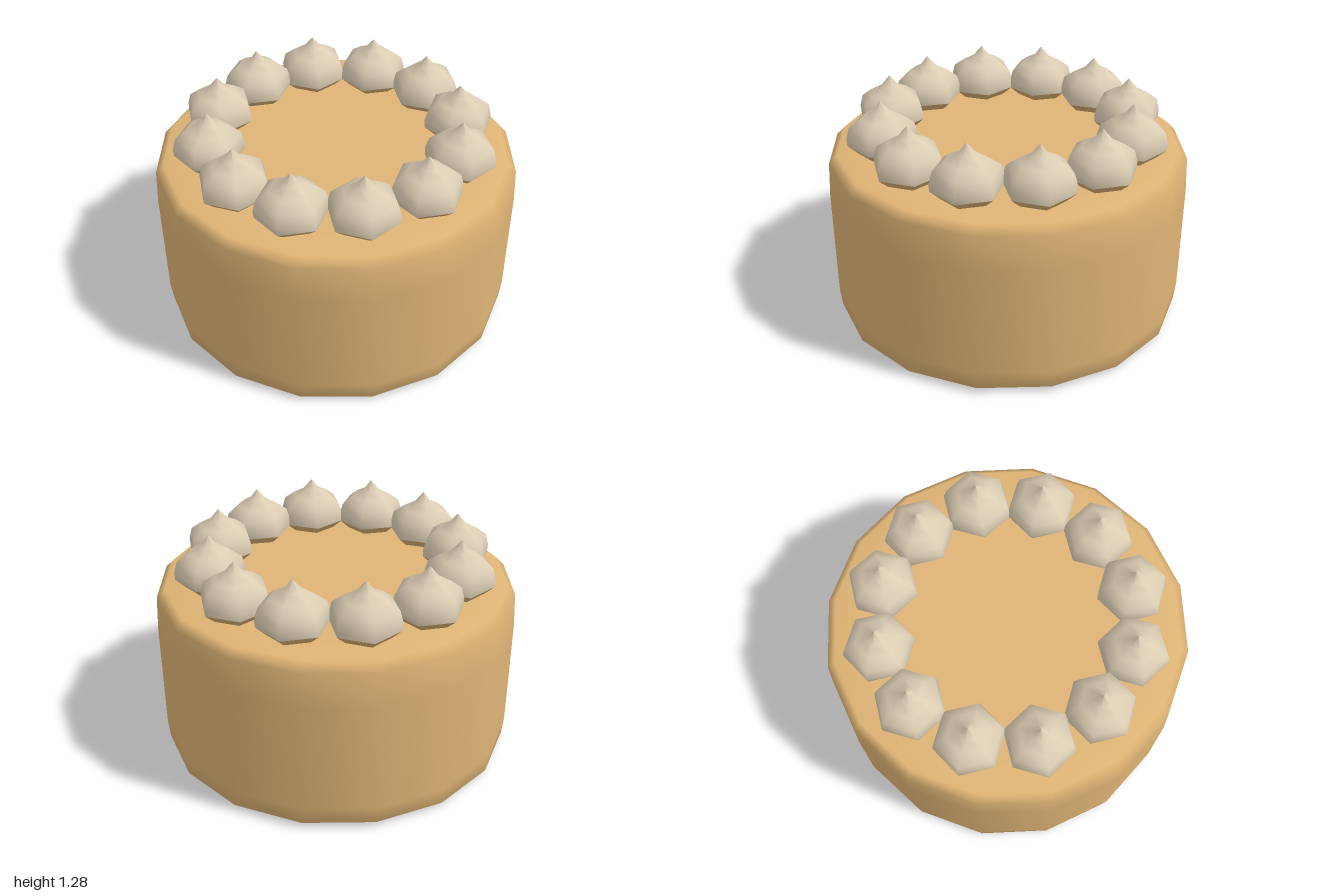
import * as THREE from 'three';

// Smooth turned solid from a bottom-to-top [radius, height] profile
function turned(profile, sides) {
  return new THREE.LatheGeometry(profile.map(([r, y]) => new THREE.Vector2(r, y)), sides);
}

export function createModel() {
  const sponge = new THREE.MeshStandardMaterial({ color: 0xdfb475 });
  sponge.name = 'caramel icing';
  const cream = new THREE.MeshStandardMaterial({ color: 0xdccdb4 });
  cream.name = 'whipped cream';

  const cake = new THREE.Group();
  cake.name = 'cake';

  // Sixteen-sided body with softened rims
  const body = new THREE.Mesh(turned([
    [0, 0], [0.95, 0], [0.99, 0.03], [1, 0.13],
    [1, 0.75], [0.99, 0.945], [0.945, 0.99], [0.75, 0.99], [0, 0.99],
  ], 16), sponge);
  body.name = 'cakeBody';
  cake.add(body);

  // Six-sided cream dollop and its undercut base
  const dollopGeometry = turned([
    [0.19, 1.04], [0.193, 1.08], [0.175, 1.145], [0.115, 1.19], [0.05, 1.225], [0, 1.285],
  ], 6);
  const baseGeometry = turned([[0.13, 0.985], [0.19, 1.04]], 6);

  // Ring of twelve dollops, each with a corner pointing outward
  for (let i = 0; i < 12; i++) {
    const angle = (i / 12) * Math.PI * 2;
    const dollop = new THREE.Group();
    dollop.name = 'creamDollop';
    const top = new THREE.Mesh(dollopGeometry, cream);
    top.name = 'dollopTop';
    const base = new THREE.Mesh(baseGeometry, sponge);
    base.name = 'dollopBase';
    dollop.add(top, base);
    dollop.position.set(Math.sin(angle) * 0.693, 0, Math.cos(angle) * 0.693);
    dollop.rotation.y = angle;
    cake.add(dollop);
  }
  return cake;
}
